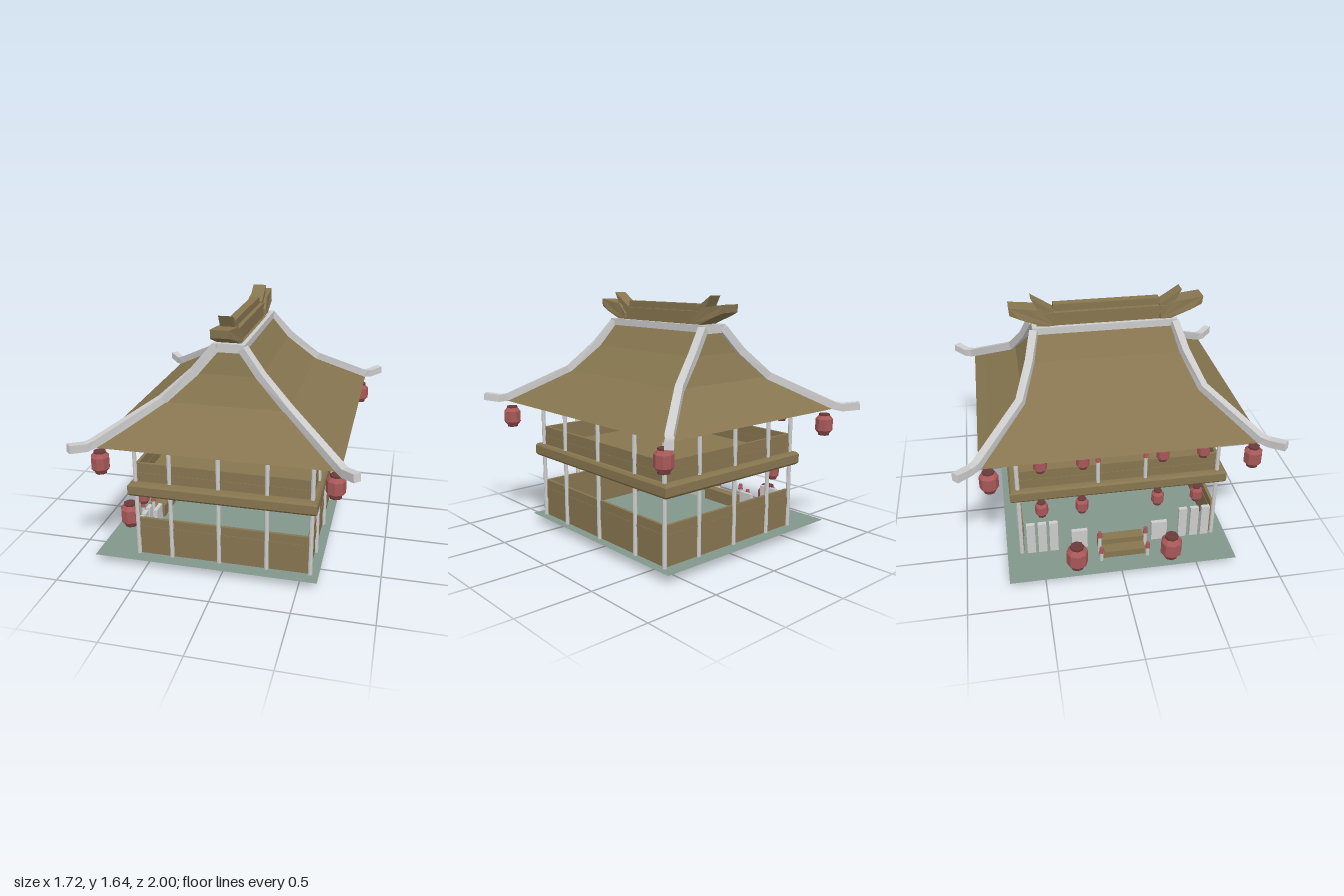
import * as THREE from 'three';

const mat = (color) => new THREE.MeshStandardMaterial({ color, flatShading: true, side: THREE.DoubleSide });

export function createModel() {
  const root = new THREE.Group();
  const wood = mat(0x86754f), grey = mat(0xcccccc), red = mat(0xa85858), green = mat(0x82968a), dark = mat(0x6b3a3a);

  const add = (name, geo, m, x = 0, y = 0, z = 0, parent = root) => {
    const mesh = new THREE.Mesh(geo, m);
    mesh.name = name;
    mesh.position.set(x, y, z);
    parent.add(mesh);
    return mesh;
  };
  // Box given by its limits
  const box = (name, m, x0, x1, y0, y1, z0, z1) =>
    add(name, new THREE.BoxGeometry(x1 - x0, y1 - y0, z1 - z0), m, (x0 + x1) / 2, (y0 + y1) / 2, (z0 + z1) / 2);

  // Skin over four-cornered rings, closed at both ends
  const skin = (rings) => {
    const pos = [];
    const quad = (a, b, c, d) => [a, b, c, a, c, d].forEach((p) => pos.push(...p));
    for (let i = 0; i + 1 < rings.length; i++) {
      for (let k = 0; k < 4; k++) {
        const n = (k + 1) % 4;
        quad(rings[i][k], rings[i][n], rings[i + 1][n], rings[i + 1][k]);
      }
    }
    const s = rings[0], e = rings[rings.length - 1];
    quad(s[3], s[2], s[1], s[0]);
    quad(e[0], e[1], e[2], e[3]);
    const g = new THREE.BufferGeometry();
    g.setAttribute('position', new THREE.Float32BufferAttribute(pos, 3));
    g.computeVertexNormals();
    return g;
  };
  // Stacked rectangles: [y, half width, half depth]
  const stack = (levels) => skin(levels.map(([y, x, z]) => [[-x, y, z], [x, y, z], [x, y, -z], [-x, y, -z]]));
  // Rectangular beam along a path
  const beam = (points, w, h) => {
    const P = points.map((p) => new THREE.Vector3(...p));
    return skin(P.map((p, i) => {
      const t = P[Math.min(i + 1, P.length - 1)].clone().sub(P[Math.max(i - 1, 0)]).normalize();
      const s = t.clone().cross(new THREE.Vector3(0, 1, 0)).normalize();
      const u = s.clone().cross(t);
      return [[-1, -1], [1, -1], [1, 1], [-1, 1]].map(([a, b]) =>
        p.clone().addScaledVector(s, a * w / 2).addScaledVector(u, b * h / 2).toArray());
    }));
  };

  // Ground sheet
  const ground = new THREE.PlaneGeometry(1.46, 1.48).rotateX(-Math.PI / 2);
  add('ground', ground, green, -0.11, 0.058, 0.01);

  // Curved hip roof
  const profile = [[0.89, 0.742, 0.865], [0.94, 0.66, 0.79], [1.105, 0.39, 0.57], [1.275, 0.2, 0.485], [1.43, 0.085, 0.44]];
  add('roof', stack(profile), wood, 0, 0, 0.012);

  // Hip beams with upturned tips, and the frame round the ridge
  for (const sx of [-1, 1]) {
    for (const sz of [-1, 1]) {
      const path = [[0.085, 1.435, 0.45], [0.21, 1.285, 0.495], [0.395, 1.115, 0.575],
        [0.73, 0.915, 0.86], [0.765, 0.905, 0.905], [0.84, 0.918, 0.983]];
      add('hipBeam', beam(path.map(([x, y, z]) => [x * sx, y, z * sz]), 0.05, 0.05), grey);
    }
    box('ridgeSideBeam', grey, sx * 0.087 - 0.013, sx * 0.087 + 0.013, 1.415, 1.46, -0.45, 0.47);
    box('ridgeEndBeam', grey, -0.1, 0.1, 1.405, 1.46, sx * 0.445 - 0.015, sx * 0.445 + 0.015);
  }

  // Ridge cap with forked ends
  const ridge = new THREE.Group();
  ridge.name = 'ridgeCap';
  ridge.position.set(-0.008, 0, 0.02);
  root.add(ridge);
  add('ridgeBase', new THREE.BoxGeometry(0.11, 0.09, 0.8), wood, 0, 1.495, 0, ridge);
  add('ridgeTop', new THREE.BoxGeometry(0.055, 0.05, 0.68), wood, 0, 1.56, 0, ridge);
  const fork = (pts, w) => {
    const s = new THREE.Shape(pts.map(([z, y]) => new THREE.Vector2(z, y)));
    return new THREE.ExtrudeGeometry(s, { depth: w, bevelEnabled: false }).translate(0, 0, -w / 2).rotateY(-Math.PI / 2);
  };
  for (const turn of [0, Math.PI]) {
    const end = new THREE.Group();
    end.name = 'ridgeEnd';
    end.rotation.y = turn;
    ridge.add(end);
    const lower = fork([[0.34, 1.46], [0.41, 1.46], [0.55, 1.515], [0.615, 1.54], [0.62, 1.59], [0.5, 1.575], [0.42, 1.565], [0.34, 1.5]], 0.145);
    const p = lower.attributes.position;
    for (let i = 0; i < p.count; i++) {
      // Narrow the tip and the top edge
      if (p.getZ(i) > 0.6) p.setX(i, p.getX(i) * 0.78);
      else if (p.getY(i) > 1.55) p.setX(i, p.getX(i) * 0.85);
    }
    lower.computeVertexNormals();
    add('ridgeHorn', lower, wood, 0, 0, 0, end);
    const upper = fork([[0.34, 1.5], [0.42, 1.53], [0.48, 1.64], [0.34, 1.55]], 0.09);
    add('ridgeProng', upper, wood, 0, 0, 0, end);
  }

  // Upper floor slab with chamfered rim
  add('upperFloor', stack([[0.5, 0.59, 0.69], [0.515, 0.602, 0.702], [0.57, 0.602, 0.702], [0.585, 0.59, 0.69]]), wood, 0, 0, 0.015);

  // Posts on all sides, the entrance side open in the middle
  const post = (x, z, y0 = 0.045) =>
    add('post', new THREE.CylinderGeometry(0.014, 0.014, 0.89 - y0, 8), grey, x, (0.89 + y0) / 2, z);
  const postX = [-0.565, -0.34, -0.025, 0.285, 0.565];
  for (const x of postX) for (const z of [0.66, -0.635]) post(x, z);
  for (const z of [0.39, 0.015, -0.36]) post(0.565, z);

  // Boarded walls: kick panel, two rails below, two rails above
  const wall = (y0, y1, t, entrance) => {
    for (const z of [0.65, -0.625]) box('wall', wood, -0.555, 0.555, y0, y1, z - t, z + t);
    box('wall', wood, 0.55 - t, 0.55 + t, y0, y1, -0.62, 0.645);
    if (entrance) box('wall', wood, -0.55 - t, -0.55 + t, y0, y1, -0.62, 0.645);
  };
  wall(0.06, 0.19, 0.008, false);
  wall(0.19, 0.263, 0.013, false);
  wall(0.263, 0.32, 0.01, false);
  wall(0.585, 0.645, 0.013, true);
  wall(0.645, 0.71, 0.01, true);

  // Eight-sided paper lantern with end caps
  const lantern = (name, x, y, z, r, h) => {
    const g = new THREE.Group();
    g.name = name;
    g.position.set(x, y, z);
    root.add(g);
    const pts = [[0.62, -0.43], [1, -0.26], [1, 0.26], [0.62, 0.43]].map(([a, b]) => new THREE.Vector2(a * r, b * h));
    add('lanternBody', new THREE.LatheGeometry(pts, 8), red, 0, 0, 0, g);
    for (const s of [-1, 1]) {
      add('lanternCap', new THREE.CylinderGeometry(r * 0.64, r * 0.64, h * 0.09, 8), dark, 0, s * h * 0.455, 0, g);
    }
  };
  for (const x of [-0.715, 0.715]) for (const z of [0.83, -0.8]) lantern('cornerLantern', x, 0.78, z, 0.058, 0.145);
  for (const z of [0.53, 0.27, -0.23, -0.49]) {
    lantern('eaveLantern', -0.65, 0.82, z, 0.042, 0.11);
    lantern('entranceLantern', -0.57, 0.415, z, 0.042, 0.11);
  }
  for (const z of [0.33, -0.29]) lantern('groundLantern', -0.755, 0.145, z, 0.07, 0.175);

  // Entrance steps
  box('lowerStep', wood, -0.705, -0.56, 0.05, 0.105, -0.13, 0.17);
  box('upperStep', wood, -0.63, -0.56, 0.105, 0.145, -0.13, 0.17);

  // Small red-capped posts beside the steps and on the balcony
  const bollard = (x, y0, y1, z) => {
    add('bollard', new THREE.CylinderGeometry(0.012, 0.012, y1 - y0, 8), grey, x, (y0 + y1) / 2, z);
    add('bollardCap', new THREE.CylinderGeometry(0.012, 0.018, 0.04, 8), red, x, y1 + 0.015, z);
  };
  for (const z of [0.18, -0.125]) {
    bollard(-0.64, 0.04, 0.19, z);
    bollard(-0.72, 0.04, 0.13, z);
    bollard(-0.58, 0.59, 0.755, z);
  }

  // Slatted fence on the entrance side
  for (const z of [0.605, 0.53, 0.45, -0.42, -0.495, -0.57]) box('fenceSlat', grey, -0.58, -0.553, 0, 0.29, z - 0.028, z + 0.028);
  for (const z of [0.29, -0.25]) box('fencePanel', grey, -0.58, -0.553, 0.018, 0.2, z - 0.053, z + 0.053);

  return root;
}
